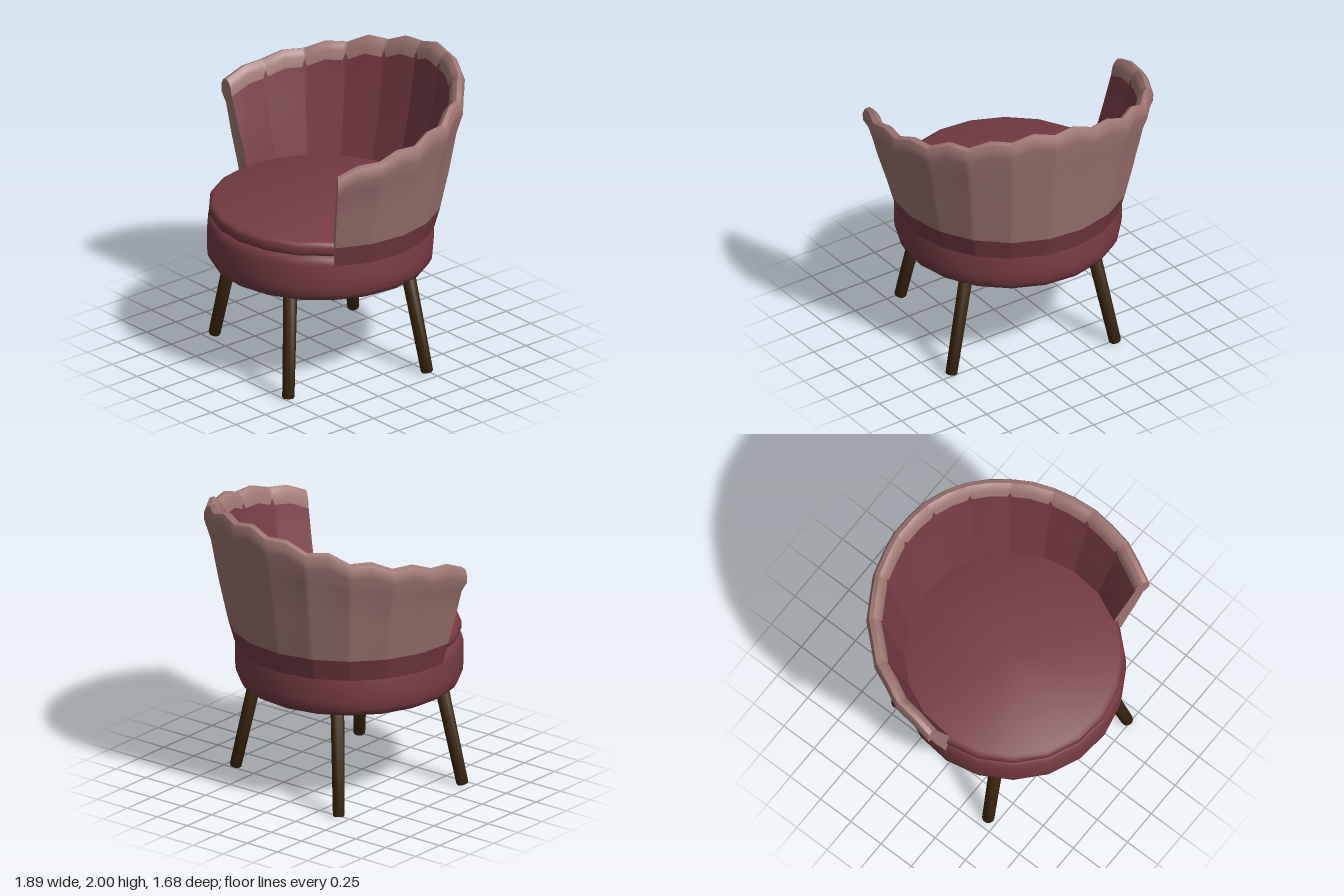
import * as THREE from 'three';
import { toCreasedNormals } from 'three/addons/utils/BufferGeometryUtils.js';

const CX = -0.01, CZ = 0.105;           // centre of the seat
const MID = 75, HALF = 108, LOBE = 18;  // back shell: centre angle, half sweep, lobe width (degrees)
const rad = THREE.MathUtils.degToRad;

// rim height every 9 degrees away from the centre of the back
const RIM = [1.975, 2.0, 1.95, 1.95, 1.885, 1.895, 1.825, 1.83, 1.775, 1.78, 1.73, 1.72, 1.66];

function material(name, color) {
  const m = new THREE.MeshStandardMaterial({ color, side: THREE.DoubleSide });
  m.name = name;
  return m;
}

function rimHeight(offset) {
  const t = Math.min(Math.abs(offset) / 9, 12);
  const i = Math.min(Math.floor(t), 11);
  return THREE.MathUtils.lerp(RIM[i], RIM[i + 1], t - i);
}

// one cross-section of the shell: lower outside, over the rim, down the inside
function section(offset) {
  const top = rimHeight(offset);
  const local = ((offset + HALF) % LOBE + LOBE) % LOBE;
  const chord = Math.cos(rad(9)) / Math.cos(rad(local - 9));
  const seam = local < 0.01 && Math.abs(offset) < HALF - 1;
  const h = f => 1.1 + (top - 1.1) * f;
  const profile = {
    lower: [[0.748, 0.95], [0.79, 1.1]],
    outer: [[0.79, 1.1], [0.85, h(0.35)], [0.9, h(0.7)], [0.943, top - 0.1], [0.945, top - 0.05],
      [0.93, top - 0.012], [0.9, top], [0.873, top - 0.02], [0.857, top - 0.05],
      seam ? [0.853, top - 0.06] : [0.845, top - 0.11]],
    inner: [seam ? [0.853, top - 0.06] : [0.845, top - 0.11], [0.79, h(0.5)], [0.71, 1.15], [0.675, 0.96]],
  };
  const a = rad(MID + offset);
  const place = ([r, y]) => [CX + r * chord * Math.cos(a), y, CZ - r * chord * Math.sin(a)];
  return Object.fromEntries(Object.entries(profile).map(([k, pts]) => [k, pts.map(place)]));
}

// surface through a row of equal cross-sections
function loft(columns) {
  const n = columns[0].length, index = [];
  for (let i = 0; i < columns.length - 1; i++) {
    for (let j = 0; j < n - 1; j++) {
      const a = i * n + j, b = a + n;
      index.push(a, b, b + 1, a, b + 1, a + 1);
    }
  }
  const g = new THREE.BufferGeometry();
  g.setAttribute('position', new THREE.Float32BufferAttribute(columns.flat(2), 3));
  g.setIndex(index);
  g.computeVertexNormals();
  return g;
}

export function createModel() {
  const group = new THREE.Group();
  const red = material('red upholstery', 0x773b43);
  const pink = material('pale pink upholstery', 0xa07672);
  const wood = material('dark wood', 0x3b260f);

  const add = (name, geometry, mat) => {
    const mesh = new THREE.Mesh(geometry, mat);
    mesh.name = name;
    group.add(mesh);
    return mesh;
  };
  const turned = (name, pts, crease) => {
    const g = new THREE.LatheGeometry(pts.map(p => new THREE.Vector2(...p)), 20, rad(3));
    add(name, toCreasedNormals(g, crease), red).position.set(CX, 0, CZ);
  };

  // hollow seat base and round cushion
  turned('seatBase', [[0.62, 0.7], [0.65, 0.683], [0.68, 0.682], [0.715, 0.7], [0.737, 0.74], [0.742, 0.79],
    [0.742, 0.95], [0.73, 0.99], [0.705, 1.015], [0.66, 1.015], [0.65, 1.0]], 0.8);
  turned('seatCushion', [[0, 1.005], [0.7, 1.005], [0.722, 1.018], [0.73, 1.035], [0.73, 1.075],
    [0.722, 1.095], [0.7, 1.105], [0, 1.105]], 0.8);

  // scalloped back shell: columns at each seam, beside it and at each lobe crest
  const sections = [];
  for (let o = -HALF; o < HALF; o += LOBE) {
    for (const d of [0, 1.2, 9, 16.8]) sections.push(section(o + d));
  }
  sections.push(section(HALF));
  add('backLowerBand', toCreasedNormals(loft(sections.map(s => s.lower)), 0.6), red);
  add('backOuterAndRim', toCreasedNormals(loft(sections.map(s => s.outer)), 0.6), pink);
  add('backInnerPanels', toCreasedNormals(loft(sections.map(s => s.inner)), 0.28), red);

  // end faces of the two arms, fanned from the middle of the section
  for (const [name, s, side] of [['leftArmEnd', sections[0], 1], ['rightArmEnd', sections.at(-1), -1]]) {
    const loop = [...s.lower, ...s.outer.slice(1), ...s.inner.slice(1)];
    const outside = [...s.lower, ...s.outer.slice(1, 7)];
    const inside = loop.slice(outside.length - 1).reverse();
    const strip = outside.map((p, i) => [p, inside[Math.min(i, inside.length - 1)]]);
    add(name, loft(side > 0 ? strip : strip.map(([a, b]) => [b, a])), pink);
  }

  // splayed legs: foot x, z then top x, z
  const legs = [
    ['frontLeftLeg', 0.41, 0.73, 0.3, 0.62], ['frontRightLeg', -0.685, 0.44, -0.53, 0.395],
    ['backLeftLeg', 0.67, -0.23, 0.515, -0.185], ['backRightLeg', -0.425, -0.52, -0.32, -0.405],
  ];
  for (const [name, fx, fz, tx, tz] of legs) {
    const foot = new THREE.Vector3(fx, 0.006, fz), top = new THREE.Vector3(tx, 0.72, tz);
    const axis = top.clone().sub(foot);
    const len = axis.length();
    const pts = [[0, 0], [0.034, 0], [0.04, 0.01], [0.046, len - 0.015], [0.038, len], [0, len]];
    const g = new THREE.LatheGeometry(pts.map(p => new THREE.Vector2(...p)), 10);
    const leg = add(name, toCreasedNormals(g, 0.8), wood);
    leg.position.copy(foot);
    leg.quaternion.setFromUnitVectors(new THREE.Vector3(0, 1, 0), axis.normalize());
  }
  return group;
}
